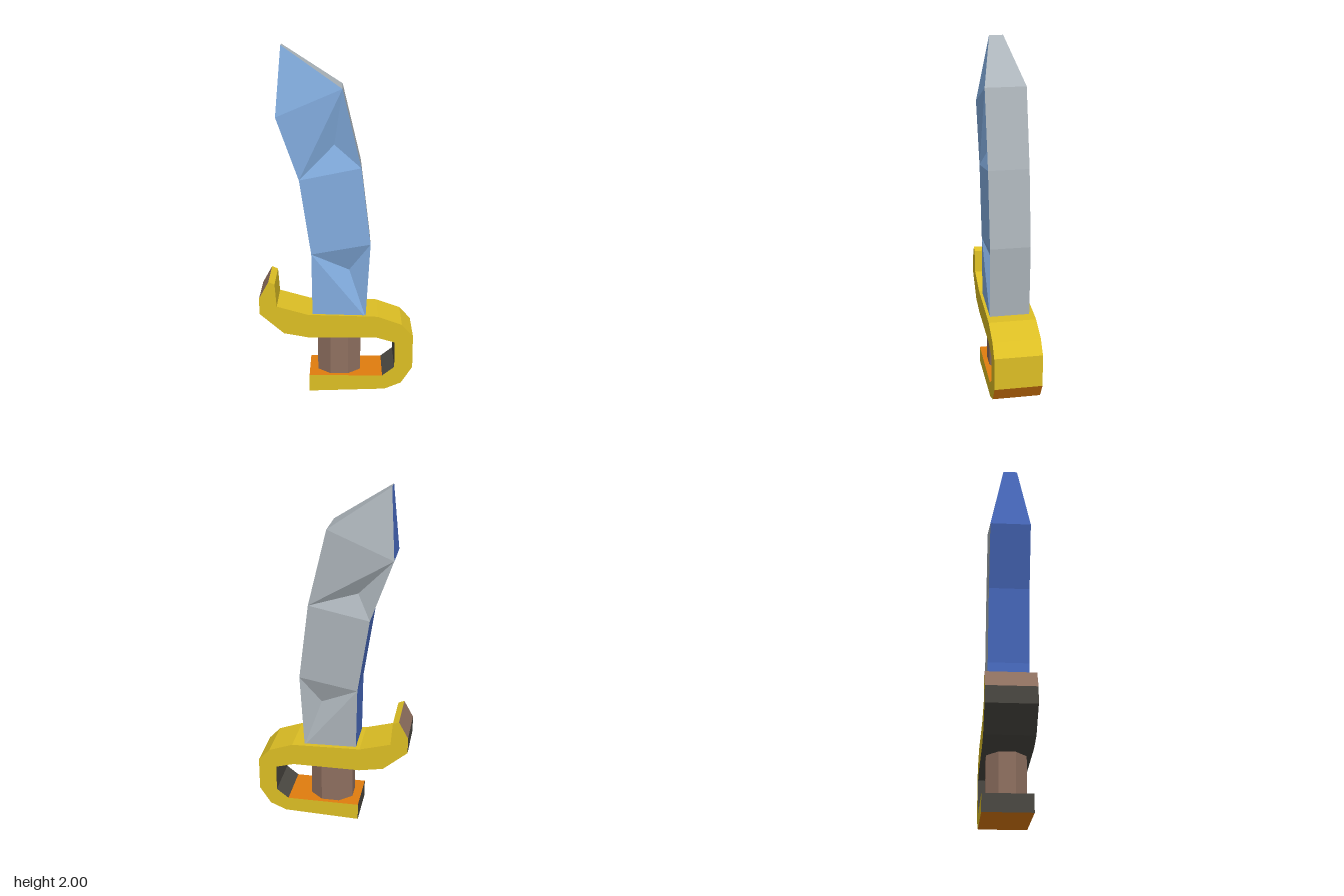
import * as THREE from 'three';

const mat = (name, color) => {
  const m = new THREE.MeshStandardMaterial({ color });
  m.name = name;
  return m;
};

// Flat-shaded mesh from a list of corner points, three per triangle
function facets(name, points, material) {
  const g = new THREE.BufferGeometry();
  g.setAttribute('position', new THREE.Float32BufferAttribute(points.flat(), 3));
  g.computeVertexNormals();
  const mesh = new THREE.Mesh(g, material);
  mesh.name = name;
  return mesh;
}
const quad = (a, b, c, d) => [a, b, c, a, c, d];

// Triangle whose centre is pushed in along z
function dented(a, b, c, dz) {
  const m = [0, 1, 2].map(i => (a[i] + b[i] + c[i]) / 3);
  m[2] += dz;
  return [a, b, m, b, c, m, c, a, m];
}

function createBlade(blue, steel, deepBlue) {
  const blade = new THREE.Group();
  blade.name = 'blade';
  const left = [[-0.14, 0.46], [-0.145, 0.84], [-0.21, 1.27], [-0.335, 1.62]];
  const right = [[0.165, 0.46], [0.19, 0.9], [0.135, 1.34], [0.03, 1.775]];
  const tip = [-0.305, 2];
  const side = (z, tipZ) => ({
    L: [...left.map(p => [...p, z]), [...tip, tipZ]],
    R: [...right.map(p => [...p, z]), [...tip, tipZ]],
  });
  const f = side(0.12, 0.045), b = side(-0.11, -0.035);

  // Hammered front face
  const { L, R } = f;
  blade.add(facets('bladeFront', [
    L[0], R[0], L[1], ...dented(L[1], R[0], R[1], -0.05),
    L[1], R[1], R[2], L[1], R[2], L[2],
    ...dented(L[2], R[2], R[3], -0.05), L[2], R[3], L[3],
    L[3], R[3], L[4],
  ], blue));

  // Hammered back face
  const l = b.L, r = b.R;
  blade.add(facets('bladeBack', [
    l[0], l[1], r[0], ...dented(l[1], r[1], r[0], 0.05),
    l[1], l[2], r[1], l[2], r[2], r[1],
    ...dented(l[2], l[3], r[2], 0.05), l[3], r[3], r[2],
    l[3], l[4], r[3],
  ], steel));

  // Spine and cutting edge
  const outer = [], inner = [];
  for (let i = 0; i < 4; i++) {
    outer.push(...quad(R[i], r[i], r[i + 1], R[i + 1]));
    inner.push(...quad(l[i], L[i], L[i + 1], l[i + 1]));
  }
  blade.add(facets('bladeOuterEdge', outer, steel));
  blade.add(facets('bladeInnerEdge', inner, deepBlue));
  return blade;
}

function createGuard(gold, orange, dark, brown) {
  const guard = new THREE.Group();
  guard.name = 'guard';
  const half = 0.137;
  // Clockwise outline; the letter colours the face that starts at the point
  const outline = [
    [-0.16, 0.1, 'o'], [0.265, 0.1, 'd'], [0.335, 0.155, 'd'], [0.335, 0.31, 'd'],
    [0.23, 0.34, 'd'], [-0.165, 0.34, 'd'], [-0.305, 0.365, 'd'], [-0.445, 0.485, 'd'],
    [-0.445, 0.58, 'b'], [-0.39, 0.68, 'g'], [-0.355, 0.665, 'g'], [-0.345, 0.53, 'g'],
    [-0.165, 0.48, 'g'], [0.235, 0.47, 'g'], [0.375, 0.42, 'g'], [0.44, 0.35, 'g'],
    [0.44, 0.155, 'o'], [0.375, 0.055, 'o'], [0.28, 0.015, 'o'], [-0.16, 0, 'd'],
  ];
  const strips = { g: [], o: [], d: [], b: [] };
  outline.forEach(([x, y, key], i) => {
    const [u, v] = outline[(i + 1) % outline.length];
    strips[key].push(...quad([x, y, half], [u, v, half], [u, v, -half], [x, y, -half]));
  });
  guard.add(
    facets('guardOuterFaces', strips.g, gold),
    facets('guardLowerFaces', strips.o, orange),
    facets('guardInnerFaces', strips.d, dark),
    facets('guardHookEnd', strips.b, brown),
  );

  // Flat front and back of the guard
  const shape = new THREE.Shape(outline.map(([x, y]) => new THREE.Vector2(x, y)));
  for (const s of [1, -1]) {
    const cap = new THREE.Mesh(new THREE.ShapeGeometry(shape), gold);
    cap.name = s > 0 ? 'guardFront' : 'guardBack';
    if (s < 0) {
      // Reverse the corner order so the face looks backwards
      cap.geometry.index.array.reverse();
      cap.geometry.computeVertexNormals();
    }
    cap.position.z = s * half;
    guard.add(cap);
  }
  return guard;
}

export function createModel() {
  const blue = mat('bladeBlue', 0x82acde);
  const steel = mat('steelGrey', 0xabb3b9);
  const deepBlue = mat('edgeBlue', 0x4a6dc4);
  const gold = mat('gold', 0xdcbe24);
  const orange = mat('orange', 0xe07c0e);
  const dark = mat('darkMetal', 0x4a4842);
  const brown = mat('gripBrown', 0x8f7060);

  const model = new THREE.Group();
  model.name = 'cutlass';
  model.add(createBlade(blue, steel, deepBlue), createGuard(gold, orange, dark, brown));

  // Eight-sided grip between the guard and the lower bar
  const gripGeometry = new THREE.CylinderGeometry(0.135, 0.135, 0.26, 8, 1).toNonIndexed();
  gripGeometry.rotateY(Math.PI / 8);
  gripGeometry.computeVertexNormals();
  const grip = new THREE.Mesh(gripGeometry, brown);
  grip.name = 'grip';
  grip.scale.z = 0.88;
  grip.position.set(0.013, 0.22, 0);
  model.add(grip);
  return model;
}
